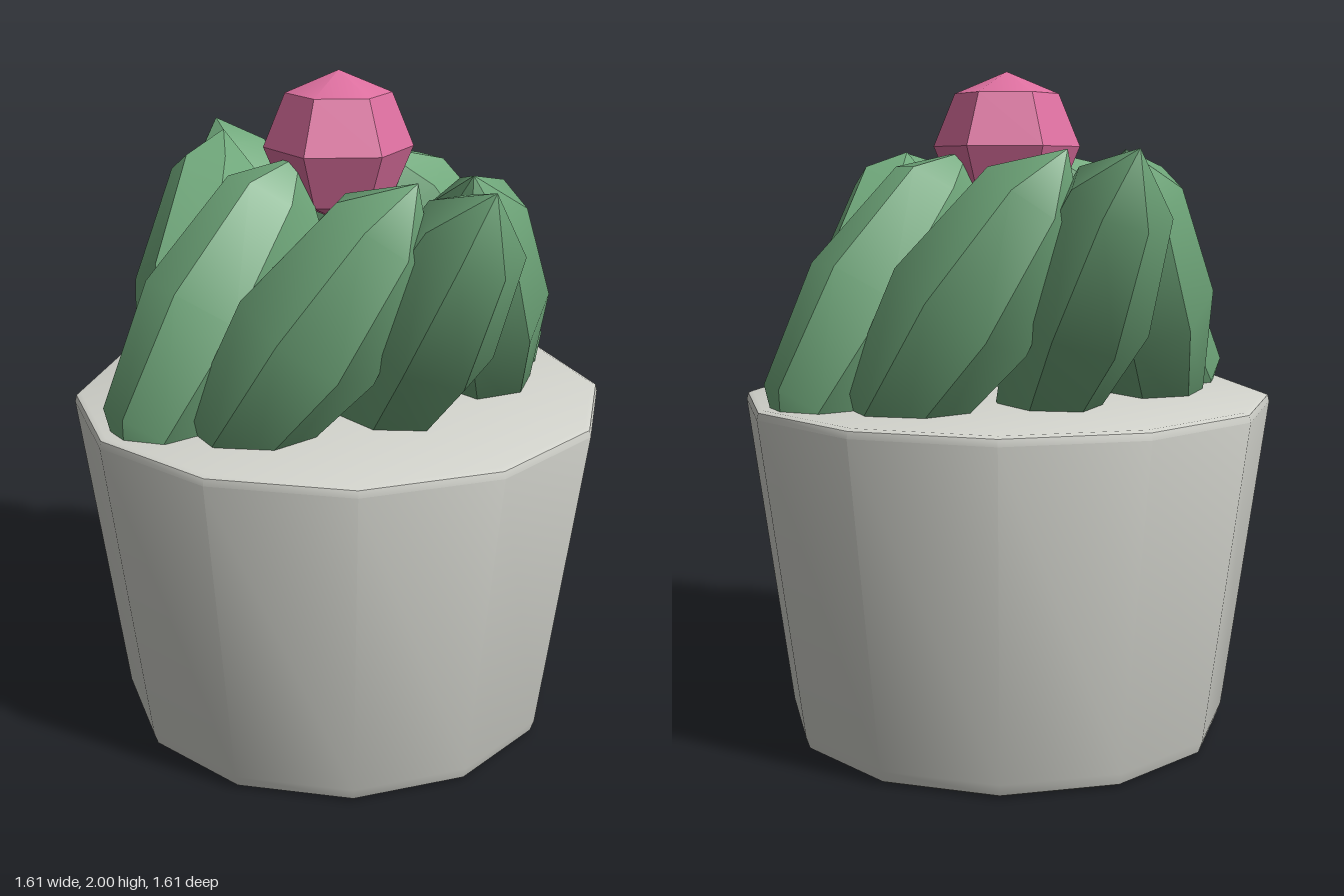
import * as THREE from 'three';
import { toCreasedNormals } from 'three/addons/utils/BufferGeometryUtils.js';

const CREASE = 0.6;

function material(name, color) {
  const m = new THREE.MeshStandardMaterial({ color });
  m.name = name;
  return m;
}

function part(name, geometry, mat) {
  const mesh = new THREE.Mesh(toCreasedNormals(geometry, CREASE), mat);
  mesh.name = name;
  return mesh;
}

export function createModel() {
  const group = new THREE.Group();
  group.name = 'pottedSucculent';
  const grey = material('potGrey', 0xd2d3cc);
  const green = material('leafGreen', 0x70a87b);
  const pink = material('flowerPink', 0xde70a0);

  // Twelve-sided tapered pot with bevelled base and rim, closed on top
  const profile = [
    [0, 0], [0.645, 0], [0.665, 0.01], [0.677, 0.045],
    [0.805, 1.01], [0.8, 1.03], [0.785, 1.036], [0, 1.036],
  ].map(([r, y]) => new THREE.Vector2(r, y));
  group.add(part('pot', new THREE.LatheGeometry(profile, 12), grey));

  // Ring of eight leaning leaves: side ones tip inward, front and back ones outward
  const leaves = new THREE.Group();
  leaves.name = 'leaves';
  const leafGeometry = new THREE.SphereGeometry(1, 7, 4)
    .rotateY(Math.PI)
    .scale(0.225, 0.53, 0.2)
    .rotateZ(-0.6);
  for (let i = 0; i < 8; i++) {
    const angle = (i * Math.PI) / 4;
    const leaf = part('leaf', leafGeometry.clone(), green);
    leaf.rotation.y = angle + Math.PI;
    leaf.position.set(0.43 * Math.cos(angle), 1.33, 0.43 * Math.sin(angle));
    leaves.add(leaf);
  }
  group.add(leaves);

  // Faceted flower bud resting in the centre
  const flower = part('flower', new THREE.SphereGeometry(0.22, 6, 4).rotateY(Math.PI / 6), pink);
  flower.position.y = 1.78;
  group.add(flower);

  return group;
}
